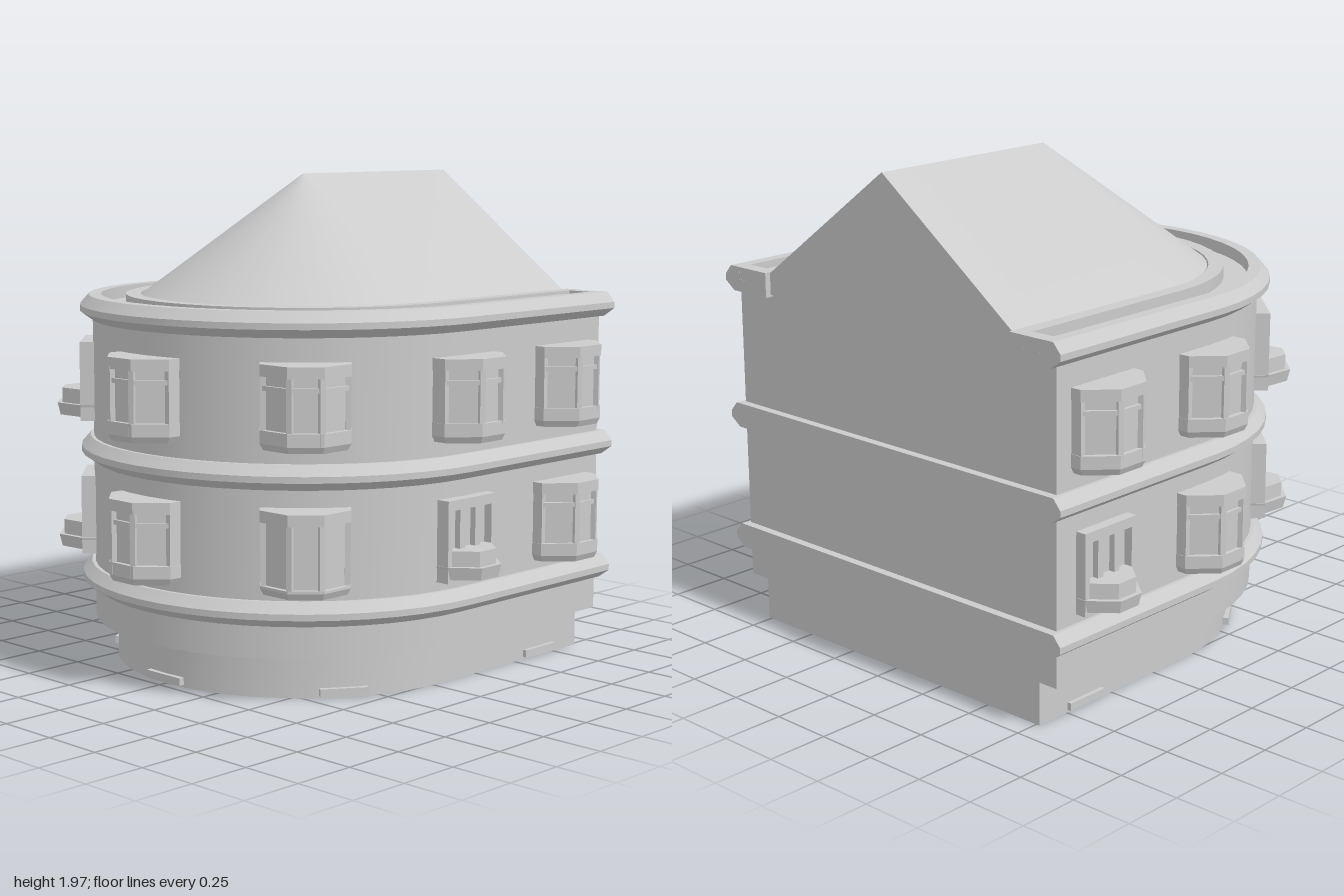
import * as THREE from 'three';
import { toCreasedNormals } from 'three/addons/utils/BufferGeometryUtils.js';

const material = new THREE.MeshStandardMaterial({ color: 0xcccccc });
const CZ = -0.05; // centre of the rounded front
const SEGMENTS = 24;

function addMesh(parent, name, geometry) {
  const mesh = new THREE.Mesh(geometry, material);
  mesh.name = name;
  parent.add(mesh);
  return mesh;
}

// U-shaped outline: straight sides from the back, half circle at the front
function outline([r, y], back) {
  const points = [new THREE.Vector3(r, y, back)];
  for (let i = 0; i <= SEGMENTS; i++) {
    const a = (Math.PI * i) / SEGMENTS;
    points.push(new THREE.Vector3(r * Math.cos(a), y, CZ + r * Math.sin(a)));
  }
  points.push(new THREE.Vector3(-r, y, back));
  return points;
}

// Skins outlines of a [radius, height] profile. A solid gets a back wall and
// caps; otherwise the profile closes on itself and its two back ends are capped.
function loft(profile, back, solid = true) {
  const rings = profile.map((p) => outline(p, back));
  const n = rings[0].length;
  const data = [];
  const tri = (a, b, c) => {
    const area = b.clone().sub(a).cross(c.clone().sub(a)).length();
    if (area > 1e-8) for (const p of [a, b, c]) data.push(p.x, p.y, p.z);
  };
  for (let j = 0; j < rings.length - (solid ? 1 : 0); j++) {
    const low = rings[j], high = rings[(j + 1) % rings.length];
    for (let i = 0; i < n - (solid ? 0 : 1); i++) {
      const k = (i + 1) % n;
      tri(low[i], high[i], low[k]);
      tri(low[k], high[i], high[k]);
    }
  }
  if (solid) {
    const bottom = rings[0], top = rings[rings.length - 1];
    for (let i = 1; i < n - 1; i++) {
      tri(bottom[0], bottom[i], bottom[i + 1]);
      tri(top[0], top[i + 1], top[i]);
    }
  } else {
    const flat = profile.map(([r, y]) => new THREE.Vector2(r, y));
    for (const [a, b, c] of THREE.ShapeUtils.triangulateShape(flat, [])) {
      tri(rings[a][0], rings[c][0], rings[b][0]);
      tri(rings[a][n - 1], rings[b][n - 1], rings[c][n - 1]);
    }
  }
  const geometry = new THREE.BufferGeometry();
  geometry.setAttribute('position', new THREE.Float32BufferAttribute(data, 3));
  return toCreasedNormals(geometry, 0.4);
}

// Three-sided bay block standing out from the wall; tuck narrows its underside
function bayBlock(y0, y1, inset = 0, tuck = 0) {
  const hw = 0.17 - inset, fw = 0.068 - inset * 0.5, d = 0.145 - inset;
  const corners = [[-hw, -0.07], [-hw, 0.045 - inset * 0.5], [-fw, d], [fw, d], [hw, 0.045 - inset * 0.5], [hw, -0.07]];
  const shape = new THREE.Shape(corners.map(([x, z]) => new THREE.Vector2(x, -z)));
  const geometry = new THREE.ExtrudeGeometry(shape, { depth: y1 - y0, bevelEnabled: false });
  geometry.rotateX(-Math.PI / 2).translate(0, y0, 0);
  const p = geometry.attributes.position;
  for (let i = 0; i < p.count; i++) {
    if (p.getY(i) < y0 + 1e-4) {
      p.setX(i, p.getX(i) * (1 - tuck));
      if (p.getZ(i) > 0) p.setZ(i, p.getZ(i) * (1 - tuck));
    }
  }
  geometry.computeVertexNormals();
  return geometry;
}

function box(parent, name, w, h, d, x, y, z, turn = 0) {
  const mesh = addMesh(parent, name, new THREE.BoxGeometry(w, h, d));
  mesh.position.set(x, y, z);
  mesh.rotation.y = turn;
}

// Bay window, base at y = 0, 0.32 high
function bayWindow(transom) {
  const bay = new THREE.Group();
  bay.name = 'bayWindow';
  addMesh(bay, 'bayUnderside', bayBlock(0, 0.025, 0, 0.08));
  addMesh(bay, 'baySill', bayBlock(0.025, transom ? 0.075 : 0.035));
  addMesh(bay, 'bayGlazing', bayBlock(0.03, 0.29, 0.018));
  addMesh(bay, 'bayHead', bayBlock(0.275, 0.32));
  if (transom) addMesh(bay, 'bayTransom', bayBlock(0.222, 0.24, 0.006));
  for (const s of [-1, 1]) {
    box(bay, 'bayFrontPost', 0.022, 0.26, 0.022, s * 0.058, 0.155, 0.131, s * 0.4);
    box(bay, 'baySidePost', 0.022, 0.26, 0.09, s * 0.157, 0.155, 0);
  }
  return bay;
}

// Tall window with pillars and a stepped balcony, base at y = 0
function balconyWindow() {
  const unit = new THREE.Group();
  unit.name = 'balconyWindow';
  box(unit, 'windowPane', 0.25, 0.3, 0.07, 0, 0.16, -0.025);
  box(unit, 'windowHead', 0.28, 0.04, 0.11, 0, 0.3, -0.01);
  for (const s of [-1, 1]) {
    box(unit, 'windowJamb', 0.025, 0.32, 0.11, s * 0.128, 0.16, -0.01);
    box(unit, 'windowPillar', 0.03, 0.28, 0.06, s * 0.045, 0.15, 0.005);
  }
  const floor = addMesh(unit, 'balconyFloor', bayBlock(0.015, 0.065, 0, 0.08));
  const parapet = addMesh(unit, 'balconyParapet', bayBlock(0.065, 0.125, 0.02));
  for (const part of [floor, parapet]) part.scale.x = 0.84;
  return unit;
}

export function createModel() {
  const model = new THREE.Group();
  model.name = 'roundFrontedBuilding';

  // Plinth, walls and roof
  addMesh(model, 'plinth', loft([[0.765, 0], [0.765, 0.18]], -0.9));
  addMesh(model, 'walls', loft([[0.855, 0.175], [0.855, 1.42]], -0.905));
  addMesh(model, 'roof', loft([[0.655, 1.4], [0.655, 1.487], [0, 1.97]], -0.92));

  // String courses
  for (const y of [0.3, 0.82]) {
    const band = [[0.855, y], [0.905, y + 0.035], [0.905, y + 0.06], [0.87, y + 0.1]];
    addMesh(model, 'stringCourse', loft(band, -0.94));
  }

  // Top cornice with a gutter around the roof
  const cornice = [[0.855, 1.39], [0.905, 1.425], [0.905, 1.45], [0.87, 1.49], [0.82, 1.49],
    [0.82, 1.44], [0.72, 1.44], [0.72, 1.49], [0.66, 1.49], [0.66, 1.39]];
  addMesh(model, 'cornice', loft(cornice, -0.94, false));
  for (const s of [-1, 1]) box(model, 'gutterEnd', 0.11, 0.05, 0.058, s * 0.77, 1.4645, -0.9105);

  // Window positions around the wall: x, z, outward angle
  const q = Math.PI / 4, d = 0.855 * Math.SQRT1_2;
  const slots = {
    front: [0, CZ + 0.855 - 0.01, 0],
    leftCorner: [d, CZ + d, q], rightCorner: [-d, CZ + d, -q],
    leftMiddle: [0.855, -0.06, 2 * q], rightMiddle: [-0.855, -0.06, -2 * q],
    leftRear: [0.855, -0.66, 2 * q], rightRear: [-0.855, -0.66, -2 * q],
  };
  const balconies = [['rightCorner', 'rightRear', 'leftMiddle'], ['rightCorner']];
  [0.435, 0.98].forEach((y, floor) => {
    for (const [slot, [x, z, angle]] of Object.entries(slots)) {
      const plain = floor === 0 && slot === 'leftCorner';
      const unit = balconies[floor].includes(slot) ? balconyWindow() : bayWindow(!plain);
      unit.position.set(x, y, z);
      unit.rotation.y = angle;
      model.add(unit);
    }
  });

  // Low vents around the plinth
  for (const a of [0, 0.98, -0.98]) {
    box(model, 'plinthVent', 0.19, 0.03, 0.05, 0.757 * Math.sin(a), 0.025, CZ + 0.757 * Math.cos(a), a);
  }
  for (const s of [-1, 1]) box(model, 'plinthVent', 0.05, 0.03, 0.19, s * 0.757, 0.025, -0.65);

  return model;
}
